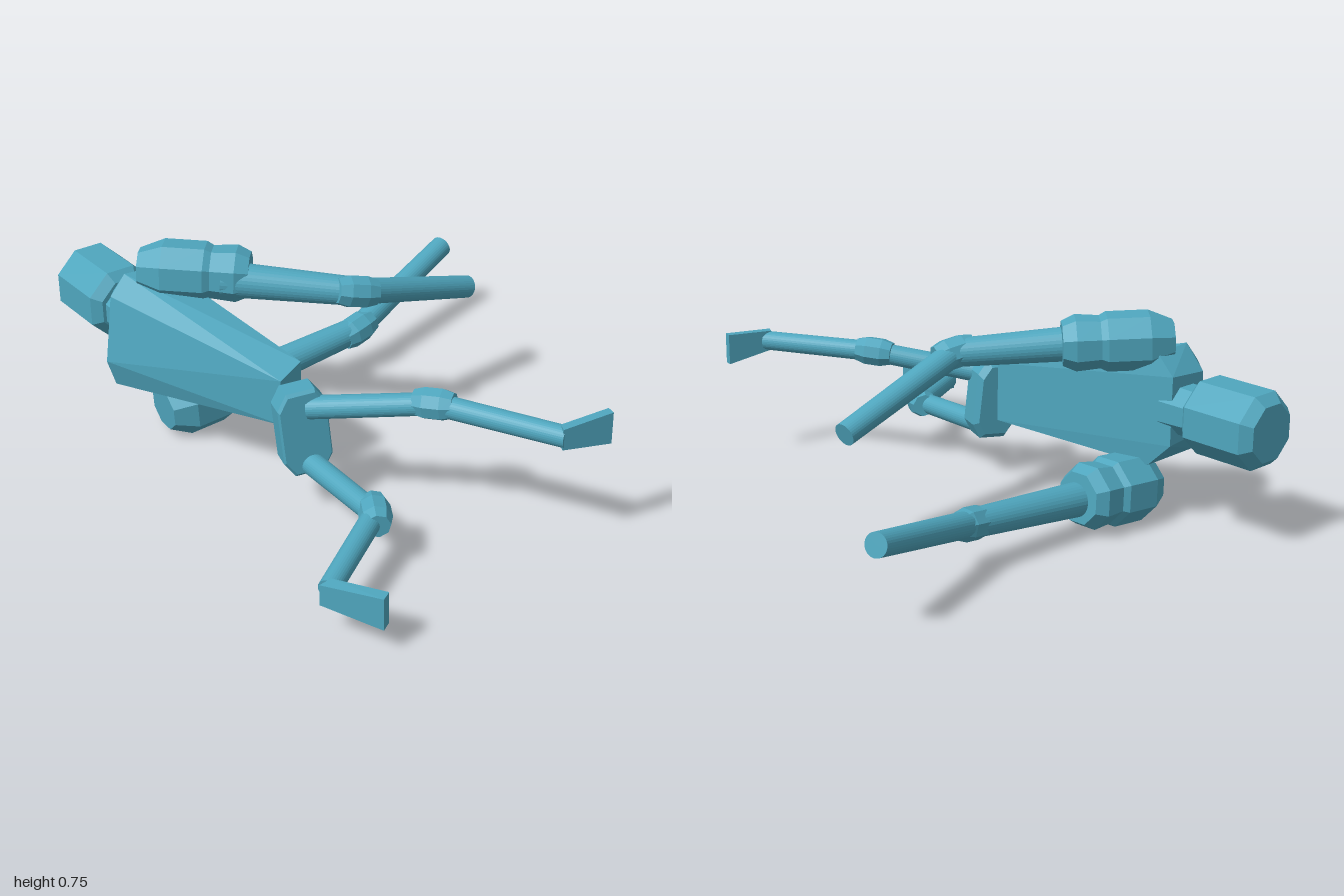
import * as THREE from 'three';
import { ConvexGeometry } from 'three/addons/geometries/ConvexGeometry.js';

const V = (a) => new THREE.Vector3(...a);

export function createModel() {
  const model = new THREE.Group();
  model.name = 'jointedFigure';

  const color = 0x4fa6be;
  const blue = new THREE.MeshStandardMaterial({ color });
  blue.name = 'mannequin blue';
  blue.flatShading = true;

  function add(name, geometry) {
    const mesh = new THREE.Mesh(geometry, blue);
    mesh.name = name;
    model.add(mesh);
    return mesh;
  }

  // Turn a mesh built along y so that it runs from a to b
  function aim(mesh, a, b) {
    const dir = V(b).sub(V(a)).normalize();
    mesh.position.copy(V(a));
    mesh.quaternion.setFromUnitVectors(new THREE.Vector3(0, 1, 0), dir);
    return mesh;
  }

  // Round limb segment, tapering from ra to rb
  function limb(name, a, b, ra, rb) {
    const len = V(a).distanceTo(V(b));
    const g = new THREE.CylinderGeometry(rb, ra, len, 32).translate(0, len / 2, 0);
    return aim(add(name, g), a, b);
  }

  // Faceted barrel: profile is [radius, fraction of length]
  function barrel(name, a, b, profile, sides = 8) {
    const len = V(a).distanceTo(V(b));
    const pts = profile.map(([r, t]) => new THREE.Vector2(r, t * len));
    const g = new THREE.LatheGeometry(pts, sides, Math.PI / sides);
    return aim(add(name, g), a, b);
  }

  const hull = (name, points) => add(name, new ConvexGeometry(points.map(V)));

  // Joint centred at p, pointing along the mean direction of its two segments
  function joint(name, a, p, b, r) {
    const d = V(p).sub(V(a)).normalize().add(V(b).sub(V(p)).normalize()).normalize();
    const h = r * 1.25;
    const s = V(p).addScaledVector(d, -h).toArray();
    const e = V(p).addScaledVector(d, h).toArray();
    barrel(name, s, e, [[0, 0], [r * 0.8, 0], [r, 0.28], [r, 0.72], [r * 0.8, 1], [0, 1]]);
  }

  // Head and neck
  barrel('head', [-0.573, 0.437, -0.70], [-0.573, 0.437, -1.0],
    [[0, 0], [0.105, 0], [0.14, 0.1], [0.14, 0.88], [0.105, 1], [0, 1]]);
  barrel('neck', [-0.575, 0.43, -0.58], [-0.575, 0.43, -0.73],
    [[0, 0], [0.095, 0], [0.088, 1], [0, 1]]);

  // Torso, tapering from the shoulders to a narrow waist
  hull('torso', [
    [-0.46, 0.28, 0.105], [-0.46, 0.45, 0.105], [-0.36, 0.26, 0.08], [-0.36, 0.48, 0.08],
    [-0.75, 0.33, -0.55], [-0.71, 0.57, -0.56], [-0.65, 0.64, -0.56], [-0.72, 0.23, -0.55],
    [-0.5, 0.63, -0.56], [-0.49, 0.22, -0.54],
    [-0.67, 0.33, -0.63], [-0.66, 0.55, -0.63], [-0.5, 0.56, -0.63], [-0.5, 0.31, -0.63],
  ]);

  // Pelvis: a chamfered slab, slightly turned
  const pelvis = [];
  for (const [z, s] of [[-0.055, 0.85], [-0.03, 1], [0.045, 1], [0.055, 0.93]]) {
    for (const [x, y] of [[0.085, 0.1], [0.05, 0.155]]) {
      for (const sx of [-1, 1]) for (const sy of [-1, 1]) pelvis.push([sx * x * s, sy * y * s, z]);
    }
  }
  const hips = hull('pelvis', pelvis);
  hips.position.set(-0.44, 0.31, 0.19);
  hips.rotation.set(-0.06, -0.31, 0.06);

  // Shoulders and arms
  const arms = [
    { side: 'left', back: [-0.60, 0.66, -0.54], front: [-0.31, 0.645, -0.285], r: 0.105,
      start: [-0.40, 0.64, -0.325], elbow: [-0.05, 0.605, -0.02], end: [0.485, 0.44, -0.062] },
    { side: 'right', back: [-0.58, 0.115, -0.47], front: [-0.23, 0.14, -0.455], r: 0.127,
      start: [-0.30, 0.125, -0.445], elbow: [0.26, 0.175, -0.435], end: [0.805, 0.305, -0.595] },
  ];
  for (const { side, back, front, r, start, elbow, end } of arms) {
    barrel(side + 'Shoulder', back, front, [[0, 0], [r * 0.65, 0], [r, 0.22], [r, 0.6],
      [r * 0.88, 0.66], [r * 0.95, 0.88], [r * 0.75, 1], [0, 1]]);
    limb(side + 'UpperArm', start, elbow, 0.063, 0.05);
    joint(side + 'Elbow', start, elbow, end, 0.058);
    limb(side + 'Forearm', elbow, end, 0.046, 0.041);
  }

  // Legs
  const legs = [
    { side: 'left', hip: [-0.43, 0.395, 0.22], knee: [-0.16, 0.463, 0.54], ankle: [0.045, 0.46, 0.945] },
    { side: 'right', hip: [-0.435, 0.19, 0.22], knee: [-0.445, 0.187, 0.60], ankle: [-0.775, 0.157, 0.80] },
  ];
  for (const { side, hip, knee, ankle } of legs) {
    limb(side + 'Thigh', hip, knee, 0.04, 0.038);
    joint(side + 'Knee', hip, knee, ankle, 0.054);
    limb(side + 'Shin', knee, ankle, 0.038, 0.036);
  }

  // Feet: thin plates that widen to the toe; corners as [x, z, low y, high y]
  const foot = (name, corners) =>
    hull(name, corners.flatMap(([x, z, lo, hi]) => [[x, lo, z], [x, hi, z]]));
  foot('leftFoot', [[0.02, 0.955, 0.425, 0.5], [0.035, 0.925, 0.425, 0.5],
    [0.205, 0.985, 0.395, 0.51], [0.212, 0.955, 0.395, 0.51]]);
  foot('rightFoot', [[-0.81, 0.80, 0.115, 0.19], [-0.765, 0.80, 0.115, 0.195],
    [-0.715, 0.995, 0.095, 0.21], [-0.68, 0.975, 0.095, 0.21]]);

  return model;
}
